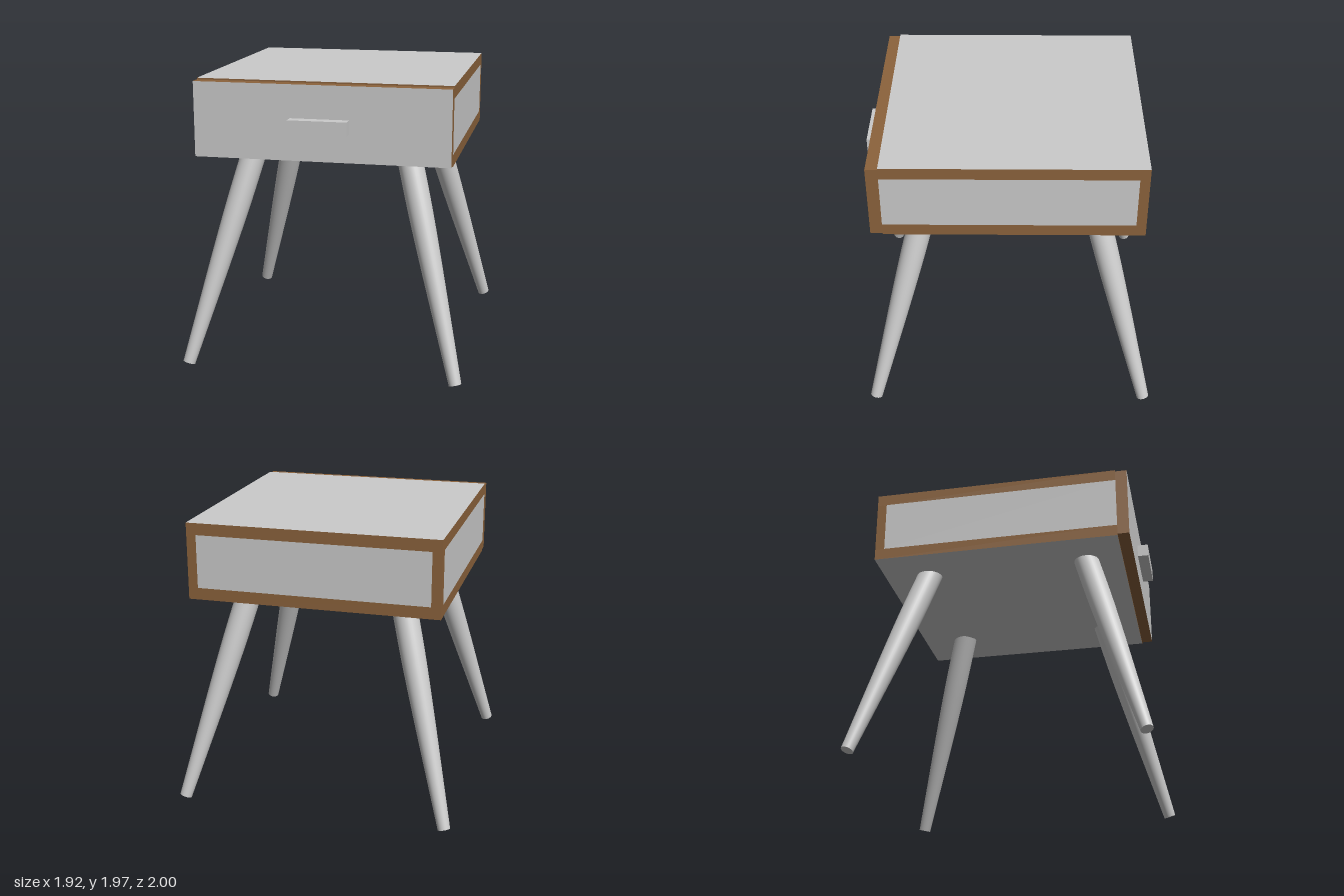
import * as THREE from 'three';

export function createModel() {
  const root = new THREE.Group();
  const grey = new THREE.MeshStandardMaterial({ color: 0xcccccc });
  const brown = new THREE.MeshStandardMaterial({ color: 0x8c633c });

  // Box from its minimum and maximum corners; faces are +x, -x, +y, -y, +z, -z
  function board(name, min, max, material) {
    const size = max.map((v, i) => v - min[i]);
    const mesh = new THREE.Mesh(new THREE.BoxGeometry(...size), material);
    mesh.position.set(...max.map((v, i) => (v + min[i]) / 2));
    mesh.name = name;
    root.add(mesh);
  }

  // Cabinet extents and board thickness
  const x0 = -0.845, x1 = 0.855, y0 = 1.45, y1 = 1.97, z0 = -0.88, z1 = 0.82;
  const t = 0.08, p = 0.065;
  const edged = [brown, brown, grey, grey, brown, brown];

  // Top and bottom boards with bare wood edges
  board('topBoard', [x0, y1 - t, z0], [x1, y1, z1], edged);
  board('bottomBoard', [x0, y0, z0], [x1, y0 + t, z1], edged);

  // Side and back panels, flush between the wooden corner posts
  board('rightPanel', [x0, y0 + t, z0 + p], [x0 + p, y1 - t, z1], grey);
  board('leftPanel', [x1 - p, y0 + t, z0 + p], [x1, y1 - t, z1], grey);
  board('backPanel', [x0 + p, y0 + t, z0], [x1 - p, y1 - t, z0 + p], grey);
  board('rightCornerPost', [x0, y0 + t, z0], [x0 + p, y1 - t, z0 + p], brown);
  board('leftCornerPost', [x1 - p, y0 + t, z0], [x1, y1 - t, z0 + p], brown);

  // Drawer front with wood edges, and its handle
  board('drawerFront', [x0, 1.46, z1], [x1, 1.96, 0.9],
    [brown, brown, brown, brown, grey, grey]);
  board('handle', [-0.195, 1.65, 0.9], [0.195, 1.74, 0.975], grey);

  // Splayed, gently swelling legs, flat at the foot
  const foot = new THREE.Vector3(0.92, 0.015, 0.957);
  const head = new THREE.Vector3(0.528, 1.475, 0.56);
  const length = foot.distanceTo(head);
  const outline = new THREE.SplineCurve([
    [0.042, 0], [0.057, 0.25], [0.072, 0.5], [0.083, 0.75], [0.085, 1],
  ].map(([r, h]) => new THREE.Vector2(r, h * length))).getPoints(16);
  const side = new THREE.LatheGeometry(outline, 32);
  const sole = new THREE.CircleGeometry(0.042, 32).rotateX(Math.PI / 2);
  const up = new THREE.Vector3(0, 1, 0);

  for (const sx of [1, -1]) {
    for (const sz of [1, -1]) {
      const mirror = new THREE.Vector3(sx, 1, sz);
      const base = foot.clone().multiply(mirror);
      const axis = head.clone().multiply(mirror).sub(base).normalize();
      const leg = new THREE.Group();
      leg.name = (sz > 0 ? 'front' : 'back') + (sx > 0 ? 'Left' : 'Right') + 'Leg';
      leg.add(new THREE.Mesh(side, grey), new THREE.Mesh(sole, grey));
      leg.position.copy(base);
      leg.quaternion.setFromUnitVectors(up, axis);
      root.add(leg);
    }
  }
  return root;
}
